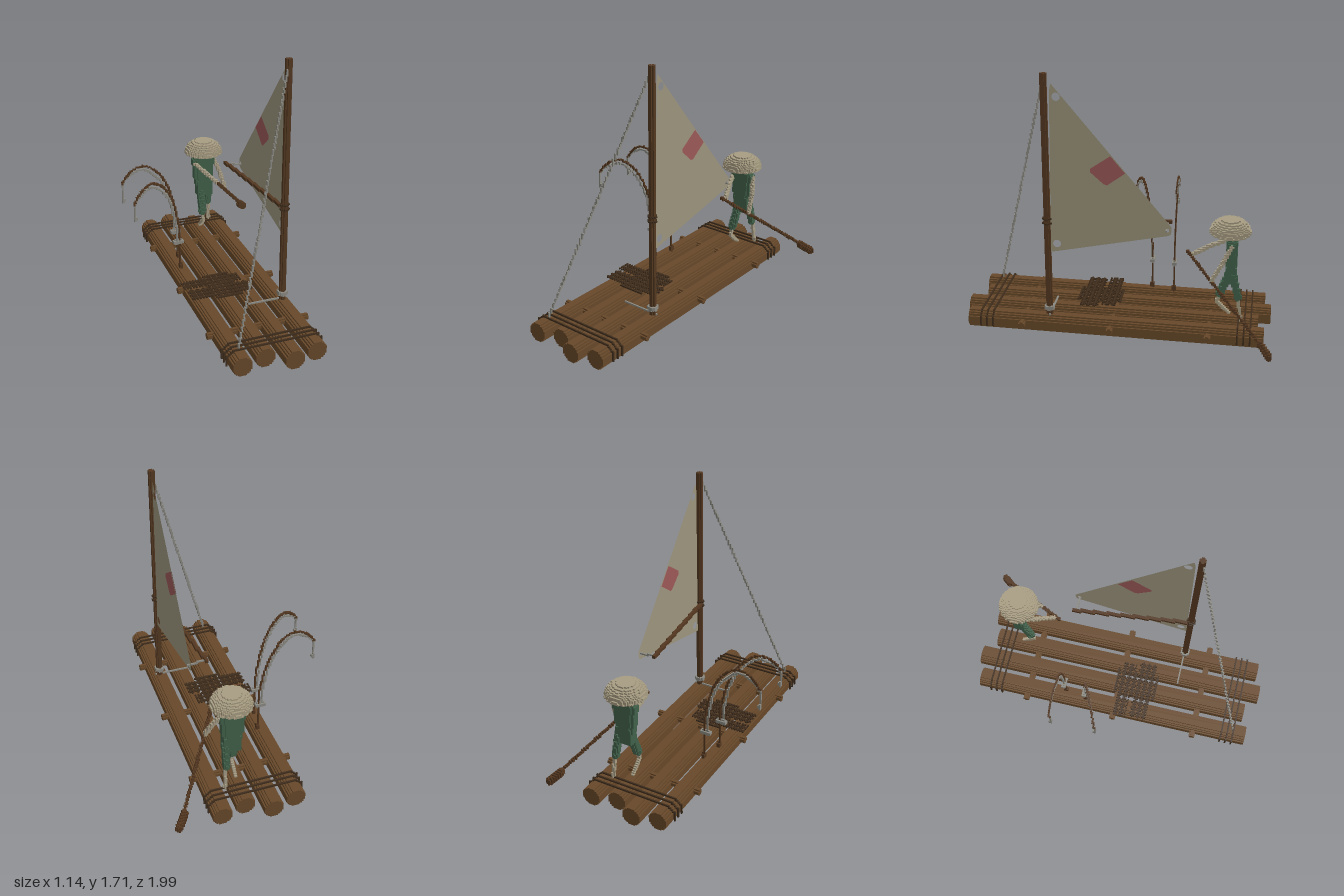
import * as THREE from 'three';

const S = 0.01; // size of one small cube
const mat = (name, color, side = THREE.FrontSide) => {
  const m = new THREE.MeshStandardMaterial({ color, side });
  m.name = name;
  return m;
};

// Cells along a polyline or smooth curve, with radius r (or [rx, ry, rz])
function stroke(points, r = 0, smooth = false, cells = new Set()) {
  const [rx, ry, rz] = (Array.isArray(r) ? r : [r, r, r]).map((v) => Math.max(v, 1e-4));
  const v = points.map((p) => new THREE.Vector3(...p));
  const path = new THREE.CurvePath();
  if (smooth) path.add(new THREE.CatmullRomCurve3(v));
  else for (let i = 1; i < v.length; i++) path.add(new THREE.LineCurve3(v[i - 1], v[i]));
  const n = Math.ceil(path.getLength() / S * 2);
  for (let i = 0; i <= n; i++) {
    const p = path.getPointAt(i / n);
    cells.add([p.x, p.y, p.z].map((c) => Math.floor(c / S)).join());
    fill([p.x - rx, p.y - ry, p.z - rz], [p.x + rx, p.y + ry, p.z + rz], (x, y, z) =>
      ((x - p.x) / rx) ** 2 + ((y - p.y) / ry) ** 2 + ((z - p.z) / rz) ** 2 <= 1, cells);
  }
  return cells;
}

// Cells of a box whose centres pass a test
function fill(min, max, test, cells = new Set()) {
  const a = min.map((c) => Math.floor(c / S)), b = max.map((c) => Math.floor(c / S));
  for (let i = a[0]; i <= b[0]; i++)
    for (let j = a[1]; j <= b[1]; j++)
      for (let k = a[2]; k <= b[2]; k++)
        if (test((i + 0.5) * S, (j + 0.5) * S, (k + 0.5) * S, i, k)) cells.add([i, j, k].join());
  return cells;
}

// Outer faces of a set of cells
function cubes(name, material, cells) {
  const pos = [], index = [];
  for (const key of cells) {
    const c = key.split(',').map(Number);
    for (let d = 0; d < 3; d++) for (const s of [1, -1]) {
      const next = [...c];
      next[d] += s;
      if (cells.has(next.join())) continue;
      const o = pos.length / 3;
      for (const [a, b] of [[0, 0], [1, 0], [1, 1], [0, 1]]) {
        const q = [...c];
        q[d] += s > 0 ? 1 : 0;
        q[(d + 1) % 3] += a;
        q[(d + 2) % 3] += b;
        pos.push(q[0] * S, q[1] * S, q[2] * S);
      }
      index.push(...(s > 0 ? [o, o + 1, o + 2, o, o + 2, o + 3] : [o, o + 2, o + 1, o, o + 3, o + 2]));
    }
  }
  let g = new THREE.BufferGeometry();
  g.setAttribute('position', new THREE.Float32BufferAttribute(pos, 3));
  g.setIndex(index);
  g = g.toNonIndexed();
  g.computeVertexNormals();
  const mesh = new THREE.Mesh(g, material);
  mesh.name = name;
  return mesh;
}

export function createModel() {
  const wood = mat('log wood', 0x674829);
  const dark = mat('dark wood', 0x533720);
  const net = mat('net and lashing', 0x3f2d1c);
  const rope = mat('grey rope', 0x8b8a82);
  const cloth = mat('sail cloth', 0x9c947c, THREE.DoubleSide);
  const red = mat('red patch', 0x9c5858, THREE.DoubleSide);
  const green = mat('green clothes', 0x41614a);
  const skin = mat('skin', 0xa69c84);
  const straw = mat('straw', 0xa89d82);

  const root = new THREE.Group();
  root.name = 'sailingRaft';
  const group = (name) => {
    const g = new THREE.Group();
    g.name = name;
    root.add(g);
    return g;
  };

  // Four logs with a stepped round section
  const raft = group('raft');
  const quarter = [[0.06, 0.025], [0.05, 0.025], [0.05, 0.04], [0.04, 0.04], [0.04, 0.05], [0.025, 0.05], [0.025, 0.06]];
  const back = [...quarter].reverse();
  const section = new THREE.Shape([
    ...quarter, ...back.map(([x, y]) => [-x, y]),
    ...quarter.map(([x, y]) => [-x, -y]), ...back.map(([x, y]) => [x, -y]),
  ].map((p) => new THREE.Vector2(...p)));
  for (const [x, z0, z1] of [[-0.215, -0.94, 0.96], [-0.055, -0.98, 0.92], [0.1, -0.9, 1], [0.26, -0.94, 0.96]]) {
    const log = new THREE.Mesh(new THREE.ExtrudeGeometry(section, { depth: z1 - z0, bevelEnabled: false }), wood);
    log.position.set(x, 0.06, z0);
    log.name = 'log';
    raft.add(log);
  }

  // Cross beams through the logs and lashings at both ends
  for (const z of [-0.59, 0.03, 0.6])
    raft.add(cubes('crossBeam', wood, stroke([[-0.295, 0.07, z], [0.345, 0.07, z]], 0.02)));
  for (const z of [-0.86, -0.82, -0.78, 0.79, 0.83, 0.87])
    raft.add(cubes('lashing', net, stroke([[-0.285, 0.035, z], [-0.285, 0.09, z], [-0.235, 0.125, z],
      [0.28, 0.125, z], [0.325, 0.09, z], [0.325, 0.035, z]])));

  // Fishing net spread on the deck
  raft.add(cubes('fishingNet', net, fill([-0.29, 0.125, 0], [0.12, 0.125, 0.28], (x, y, z, i, k) => {
    const inside = (x < 0.1 && z > 0.03 && z < 0.12) || (x > -0.28 && z > 0.14 && z < 0.26) || (x > -0.13 && x < 0.05);
    return inside && ((i + k) % 4 === 0 || (i - k) % 4 === 0 || k % 4 === 0);
  })));

  // Mast, boom and rigging
  const rig = group('rig');
  const mx = 0.26, mz = 0.43;
  rig.add(cubes('mast', dark, stroke([[mx, 0.12, mz], [mx, 1.7, mz]], [0.021, 0.01, 0.021])));
  rig.add(cubes('boom', dark, stroke([[0.245, 0.77, 0.41], [0.16, 0.77, -0.33]], 0.012)));
  rig.add(cubes('mastCollar', rope, stroke([[mx, 0.16, mz], [mx, 0.175, mz]], [0.032, 0.01, 0.032])));
  rig.add(cubes('mastRope', rope, stroke([[0.04, 0.125, 0.425], [0.28, 0.125, 0.425]], 0.008)));
  for (const y of [0.755, 0.785])
    rig.add(cubes('boomLashing', net, stroke([[mx, y, mz], [mx, y + 0.004, mz]], [0.028, 0.005, 0.028])));
  rig.add(cubes('forestay', rope, stroke([[0.25, 1.65, 0.44], [-0.21, 0.12, 0.87]])));
  rig.add(cubes('sheetRope', rope, stroke([[0.16, 0.765, -0.315], [0.27, 0.755, -0.315]])));

  // Flat sail with eyelet holes; outlines are given as [z, y]
  const outline = (pts) => new THREE.Shape(pts.map(([z, y]) => new THREE.Vector2(-z, y)));
  const plate = (name, shape, material, x) => {
    const m = new THREE.Mesh(new THREE.ShapeGeometry(shape, 16).rotateY(Math.PI / 2), material);
    m.position.x = x;
    m.name = name;
    rig.add(m);
  };
  const sail = outline([[0.41, 0.56], [-0.33, 0.72], [-0.345, 0.735], [-0.345, 0.78], [0.385, 1.65], [0.395, 1.6]]);
  for (const [z, y, r] of [[0.355, 1.57, 0.025], [0.37, 0.62, 0.025], [-0.32, 0.755, 0.012]])
    sail.holes.push(new THREE.Path().absarc(-z, y, r, 0, Math.PI * 2, true));
  plate('sail', sail, cloth, 0.265);
  const patch = outline([[0.155, 1.11], [0.07, 1.035], [0.05, 1.03], [-0.06, 1.112], [0.03, 1.218], [0.155, 1.13]]);
  for (const side of [-1, 1]) plate('sailPatch', patch, red, 0.265 + side * 0.003);

  // Two bent fishing rods; h scales the arch, z runs from foot to tip
  const rods = group('fishingRods');
  for (const [x0, z0, z1, h] of [[-0.19, -0.325, -0.31, 1], [-0.22, -0.175, -0.02, 0.97]]) {
    const arch = [[0, 0.12], [0.03, 0.45], [0.17, 0.66], [0.36, 0.78], [0.63, 0.84], [0.88, 0.8], [1, 0.74]];
    const at = ([t, y], dy = 0) => [x0 + (-0.563 - x0) * t, y * h + dy, z0 + (z1 - z0) * t];
    rods.add(cubes('fishingRod', dark, stroke(arch.map((p) => at(p)), 0, true)));
    rods.add(cubes('fishingLine', rope, stroke([[0.06, 0.32], [0.08, 0.44], [0.2, 0.64], [0.38, 0.75], [0.63, 0.815], [0.88, 0.78], [1, 0.73], [1, 0.66]]
      .map((p) => at(p)), 0, true)));
    rods.add(cubes('hook', rope, stroke([at([1, 0.66]), [-0.563, 0.615, z1]], 0)));
    rods.add(cubes('bait', rope, stroke([[-0.563, 0.615, z1], [-0.563, 0.625, z1]], 0.012)));
    rods.add(cubes('reel', rope, stroke([[x0 - 0.035, 0.32, z0], [x0 + 0.005, 0.32, z0]], 0.017)));
    rods.add(cubes('rodFoot', dark, stroke([[x0, 0.12, z0], [x0, 0.15, z0]], 0.012)));
  }

  // Ferryman: clothes
  const man = group('ferryman');
  const hx = 0.13, hz = -0.715;
  man.add(cubes('shirt', green, fill([0.03, 0.46, -0.77], [0.23, 0.69, -0.66], (x, y, z) => {
    const half = y > 0.66 ? 0.08 - (y - 0.66) : 0.06 + 0.02 * (y - 0.46) / 0.2;
    return Math.abs(x - hx) < half && Math.abs(z - hz) < (Math.abs(x - hx) > half - 0.02 ? 0.025 : 0.038);
  })));
  const trousers = fill([0.07, 0.38, -0.77], [0.2, 0.48, -0.66], (x, y, z) =>
    Math.abs(x - 0.135) < 0.06 && Math.abs(z - hz) < 0.035);
  stroke([[0.11, 0.44, -0.71], [0.1, 0.27, -0.648]], [0.026, 0.02, 0.026], false, trousers);
  stroke([[0.175, 0.44, -0.73], [0.183, 0.29, -0.765]], [0.022, 0.02, 0.024], false, trousers);
  man.add(cubes('trousers', green, trousers));

  // Ferryman: limbs, head and hat
  man.add(cubes('rightShin', skin, stroke([[0.1, 0.26, -0.645], [0.1, 0.21, -0.63], [0.1, 0.135, -0.71]], 0.011)));
  man.add(cubes('leftShin', skin, stroke([[0.19, 0.28, -0.765], [0.195, 0.135, -0.79]], 0.011)));
  man.add(cubes('rightArm', skin, stroke([[0.06, 0.635, -0.7], [0.1, 0.605, -0.59], [0.155, 0.56, -0.475]], 0.013)));
  man.add(cubes('leftArm', skin, stroke([[0.21, 0.645, -0.715], [0.24, 0.56, -0.67], [0.26, 0.44, -0.605]], 0.013)));
  man.add(cubes('head', skin, stroke([[hx, 0.69, -0.71], [hx, 0.72, -0.71]], [0.035, 0.03, 0.035])));
  man.add(cubes('strawHat', straw, fill([-0.01, 0.71, -0.84], [0.27, 0.8, -0.56], (x, y, z) =>
    Math.hypot(x - hx, z + 0.7) < 0.128 * Math.sqrt(Math.max(0, 1 - ((y - 0.715) / 0.09) ** 2)) &&
    (y > 0.73 || Math.hypot(x - hx, z + 0.7) > 0.05))));

  // Steering oar
  man.add(cubes('oarShaft', dark, stroke([[0.145, 0.575, -0.435], [0.5, 0.15, -0.92]], 0.009)));
  man.add(cubes('oarBlade', dark, stroke([[0.495, 0.145, -0.92], [0.545, 0.095, -0.975]], [0.022, 0.025, 0.02])));
  return root;
}
